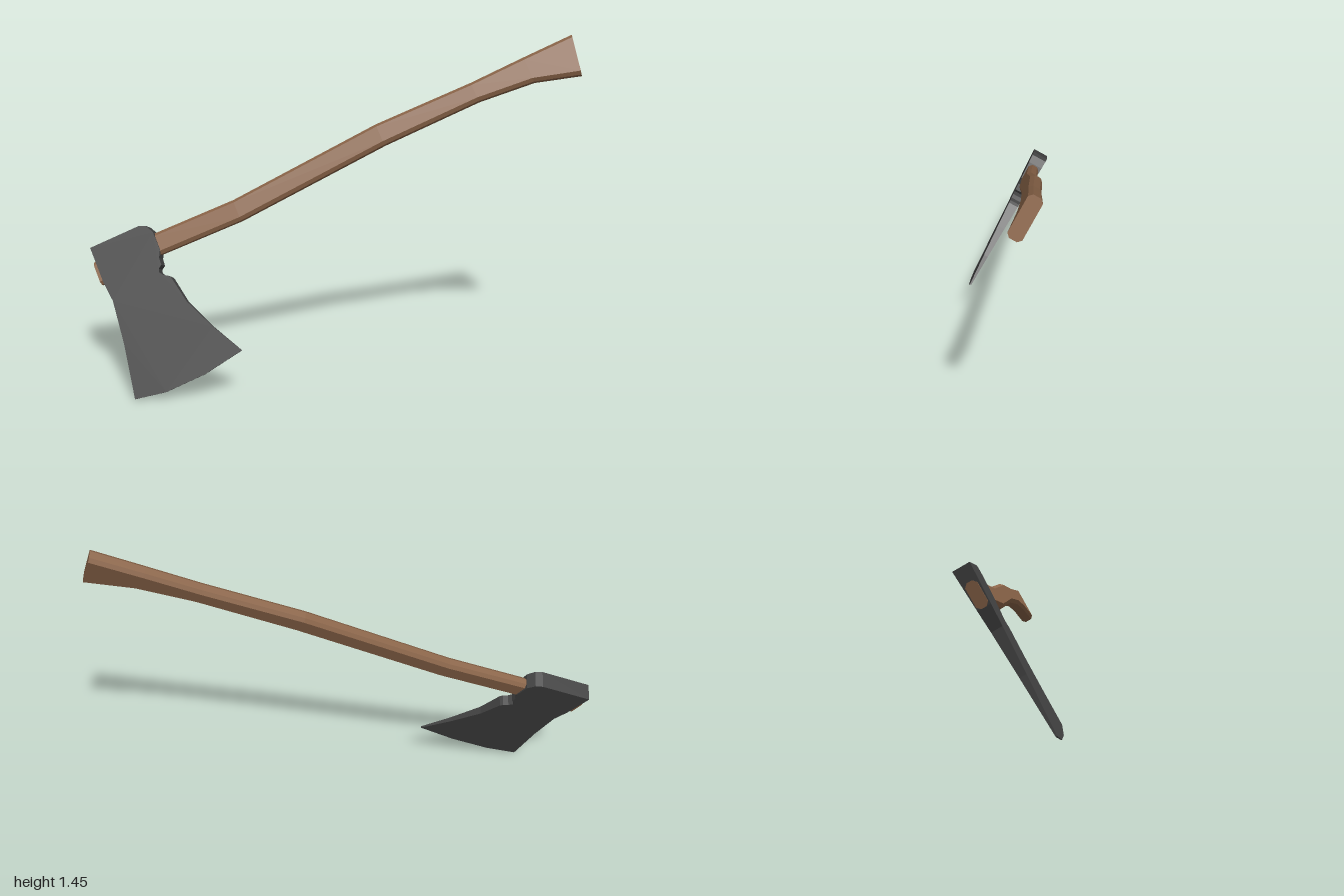
import * as THREE from 'three';

const wood = new THREE.MeshStandardMaterial({ color: 0x8b6549 });
wood.name = 'wood';
const iron = new THREE.MeshStandardMaterial({ color: 0x444444 });
iron.name = 'iron';

// Eight-sided chamfered section, counter-clockwise seen from +x
function section({ x, y, h, t, slant = 0 }) {
  const a = h / 2, b = t / 2, c = 0.013;
  const corners = [
    [a, -b + c], [a, b - c], [a - c, b], [-a + c, b],
    [-a, b - c], [-a, -b + c], [-a + c, -b], [a - c, -b],
  ];
  return corners.map(([u, w]) => [x + slant * u, y + u, w]);
}

// Flat-faced skin over a row of sections, closed at both ends
function loft(sections) {
  const out = [];
  const tri = (...points) => points.forEach((p) => out.push(...p));
  const n = sections[0].length;
  const first = sections[0], last = sections[sections.length - 1];
  for (let s = 0; s < sections.length - 1; s++) {
    const A = sections[s], B = sections[s + 1];
    for (let i = 0; i < n; i++) {
      const j = (i + 1) % n;
      tri(A[i], A[j], B[j]);
      tri(A[i], B[j], B[i]);
    }
  }
  for (let i = 1; i < n - 1; i++) {
    tri(last[0], last[i], last[i + 1]);
    tri(first[0], first[i + 1], first[i]);
  }
  const g = new THREE.BufferGeometry();
  g.setAttribute('position', new THREE.Float32BufferAttribute(out, 3));
  g.computeVertexNormals();
  return g;
}

// Gently curved haft that flares at the butt and pokes through the eye
function makeHandle() {
  const stations = [
    { x: -0.682, y: -0.012, h: 0.100, t: 0.046 },
    { x: -0.400, y: 0.000, h: 0.092, t: 0.048 },
    { x: -0.035, y: -0.008, h: 0.092, t: 0.050 },
    { x: 0.625, y: 0.036, h: 0.092, t: 0.052 },
    { x: 1.040, y: 0.036, h: 0.082, t: 0.052 },
    { x: 1.270, y: 0.029, h: 0.108, t: 0.053 },
    { x: 1.465, y: 0.004, h: 0.164, t: 0.055, slant: 0.18 },
  ];
  const mesh = new THREE.Mesh(loft(stations.map(section)), wood);
  mesh.name = 'handle';
  return mesh;
}

// Wedge-shaped head: side outline extruded, then thinned towards the edge
function makeHead() {
  const top = 0.097, edge = -0.58;
  const outline = [
    [-0.667, top], [-0.668, -0.06], [-0.659, -0.145], [-0.681, -0.325],
    [-0.723, -0.554], [-0.59, -0.578], [-0.411, -0.574], [-0.233, -0.544],
    [-0.308, -0.408], [-0.37, -0.27], [-0.393, -0.155], [-0.402, -0.143],
    [-0.42, -0.132], [-0.432, -0.115], [-0.428, -0.1], [-0.412, -0.09],
    [-0.41, -0.06], [-0.394, -0.03], [-0.394, 0.05], [-0.412, 0.085], [-0.44, top],
  ];
  const shape = new THREE.Shape(outline.map(([x, y]) => new THREE.Vector2(x, y)));
  const g = new THREE.ExtrudeGeometry(shape, { depth: 2, bevelEnabled: false });
  g.translate(0, 0, -1);
  const pos = g.attributes.position;
  for (let i = 0; i < pos.count; i++) {
    const k = (pos.getY(i) - edge) / (top - edge);
    pos.setZ(i, pos.getZ(i) * THREE.MathUtils.lerp(0.0015, 0.034, k));
  }
  g.computeVertexNormals();
  const mesh = new THREE.Mesh(g, iron);
  mesh.name = 'axeHead';
  return mesh;
}

export function createModel() {
  // Resting pose: leaning back, with the haft rising to the left
  const axe = new THREE.Group();
  axe.name = 'axe';
  axe.add(makeHandle(), makeHead());
  const rad = THREE.MathUtils.degToRad;
  axe.rotation.set(rad(-28), 0, rad(25), 'ZYX');
  axe.position.set(-0.352, 0.753, -0.1025);

  const model = new THREE.Group();
  model.name = 'model';
  model.add(axe);
  return model;
}
